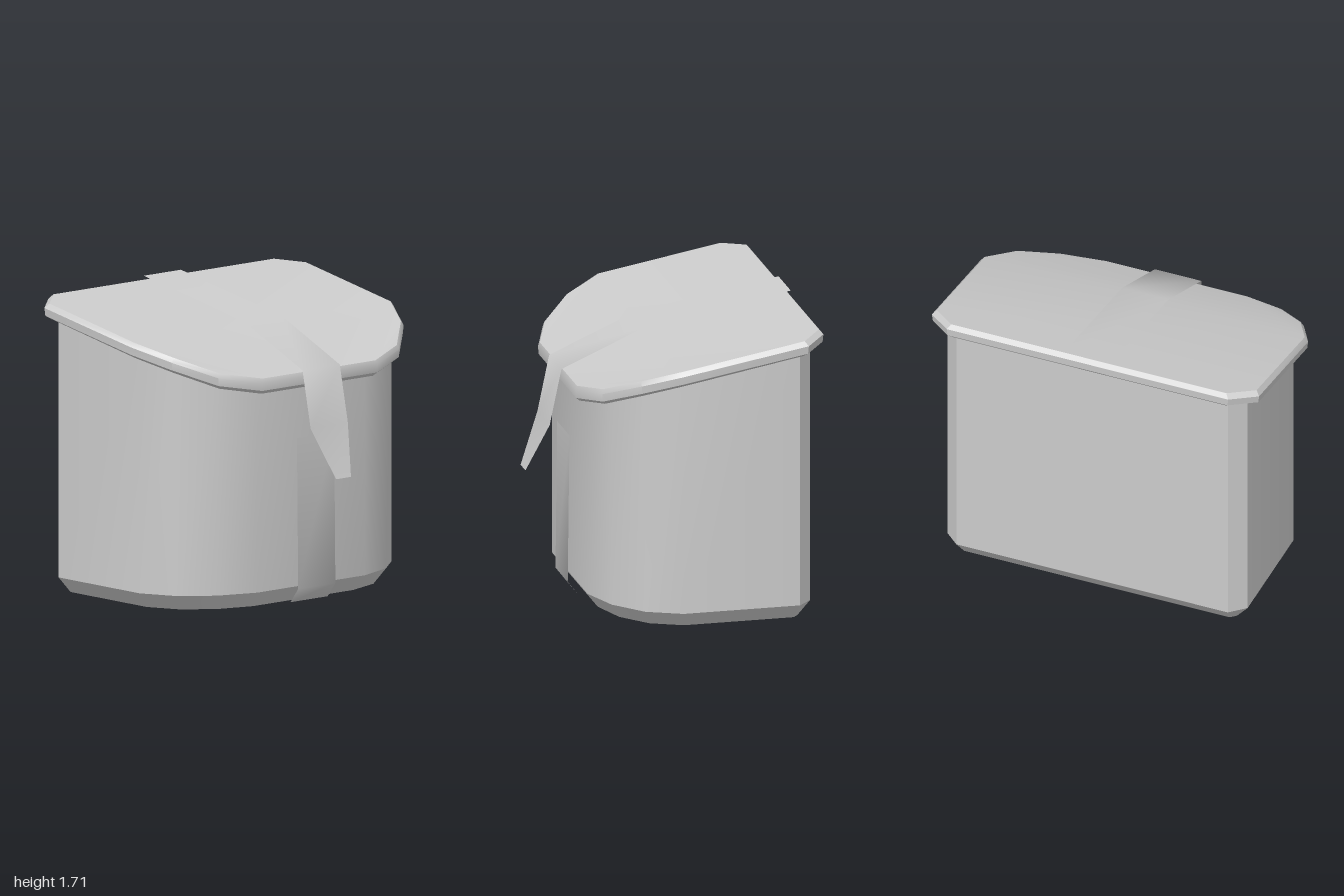
import * as THREE from 'three';
import { toCreasedNormals } from 'three/addons/utils/BufferGeometryUtils.js';

const sheet = new THREE.MeshStandardMaterial({ color: 0xcccccc, side: THREE.DoubleSide });

// Half outlines as [x, z], from the back edge round to the front edge
const LID = [[0.86, -0.77], [1, -0.65], [1, 0.08], [0.885, 0.295], [0.69, 0.475], [0.44, 0.567]];
const BODY = [[0.83, -0.7], [0.918, -0.62], [0.918, 0.06], [0.825, 0.26], [0.645, 0.41], [0.41, 0.492]];
const BASE = [[0.81, -0.63], [0.845, -0.6], [0.845, 0.04], [0.76, 0.22], [0.6, 0.355], [0.38, 0.425]];

// Height of the sloping lid top at depth z
const SLOPE = [[-0.77, 1.69], [0.08, 1.54], [0.295, 1.467], [0.57, 1.33]];
function lidHeight(z) {
  let i = 0;
  while (i < SLOPE.length - 2 && z > SLOPE[i + 1][0]) i++;
  const [z0, y0] = SLOPE[i], [z1, y1] = SLOPE[i + 1];
  return y0 + (y1 - y0) * (z - z0) / (z1 - z0);
}

// Mirror a half outline into a full ring; inset shrinks it towards depth zMid
function ring(half, height, inset = 0, zMid = 0) {
  const right = half.map(([x, z]) => [x * (1 - inset), height(z), zMid + (z - zMid) * (1 - inset)]);
  const left = right.map(([x, y, z]) => [-x, y, z]).reverse();
  return [...right, ...left];
}

// Triangles joining a stack of rings, bottom to top
function skin(rings) {
  const tris = [];
  const n = rings[0].length;
  for (let r = 0; r < rings.length - 1; r++) {
    const lo = rings[r], up = rings[r + 1];
    for (let i = 0; i < n; i++) {
      const j = (i + 1) % n;
      tris.push([lo[i], up[i], lo[j]], [lo[j], up[i], up[j]]);
    }
  }
  return tris;
}

// Lid top: three panels across, with a pair of small triangles in each front corner
function lidTop(top) {
  const R = (i) => top[i], L = (i) => top[top.length - 1 - i];
  const tris = [];
  for (const [a, b] of [[0, 1], [1, 2], [2, 5]]) {
    tris.push([L(a), L(b), R(a)], [R(a), L(b), R(b)]);
  }
  for (const [a, b] of [[2, 3], [3, 4]]) {
    tris.push([R(a), R(5), R(b)], [L(a), L(b), L(5)]);
  }
  return tris;
}

// Thin strip across x, from rows of [half width, y, z]
function strip(rows) {
  const tris = [];
  for (let i = 0; i < rows.length - 1; i++) {
    const [[w0, y0, z0], [w1, y1, z1]] = [rows[i], rows[i + 1]];
    tris.push([[-w0, y0, z0], [-w1, y1, z1], [w0, y0, z0]]);
    tris.push([[w0, y0, z0], [-w1, y1, z1], [w1, y1, z1]]);
  }
  return tris;
}

export function createModel() {
  const group = new THREE.Group();
  const add = (name, tris, crease) => {
    const geo = new THREE.BufferGeometry();
    geo.setAttribute('position', new THREE.Float32BufferAttribute(tris.flat(2), 3));
    const mesh = new THREE.Mesh(toCreasedNormals(geo, crease), sheet);
    mesh.name = name;
    group.add(mesh);
  };

  // Hollow pouch body, open below, with a bevelled foot
  const bodyTop = ring(BODY, (z) => lidHeight(z) - 0.085);
  add('body', skin([ring(BASE, () => 0), ring(BODY, () => 0.09), bodyTop]), 0.6);

  // Lid: underside lip from the body edge, bevelled rim and sloping top
  const lidEdge = ring(LID, lidHeight, 0.022, 0.2);
  add('lid', [
    ...skin([
      bodyTop,
      ring(LID, (z) => lidHeight(z) - 0.09, 0.035, -0.1),
      ring(LID, (z) => lidHeight(z) - 0.07, 0.005),
      ring(LID, (z) => lidHeight(z) - 0.025),
      lidEdge,
    ]),
    ...lidTop(lidEdge),
  ], 0.6);

  // Strap over the lid, hanging free to a tapered tip
  const w = 0.142;
  add('lidStrap', strip([
    [w, 1.71, -0.76], [w, 1.558, 0.09], [w, 1.345, 0.577],
    [w, 1.02, 0.645], [0.057, 0.735, 0.765],
  ]), 1.2);

  // Strap up the front of the body, folded under with the foot bevel
  add('frontStrap', strip([[w, 0.95, 0.53], [w, 0.085, 0.54], [w, 0, 0.475]]), 1.2);

  return group;
}
